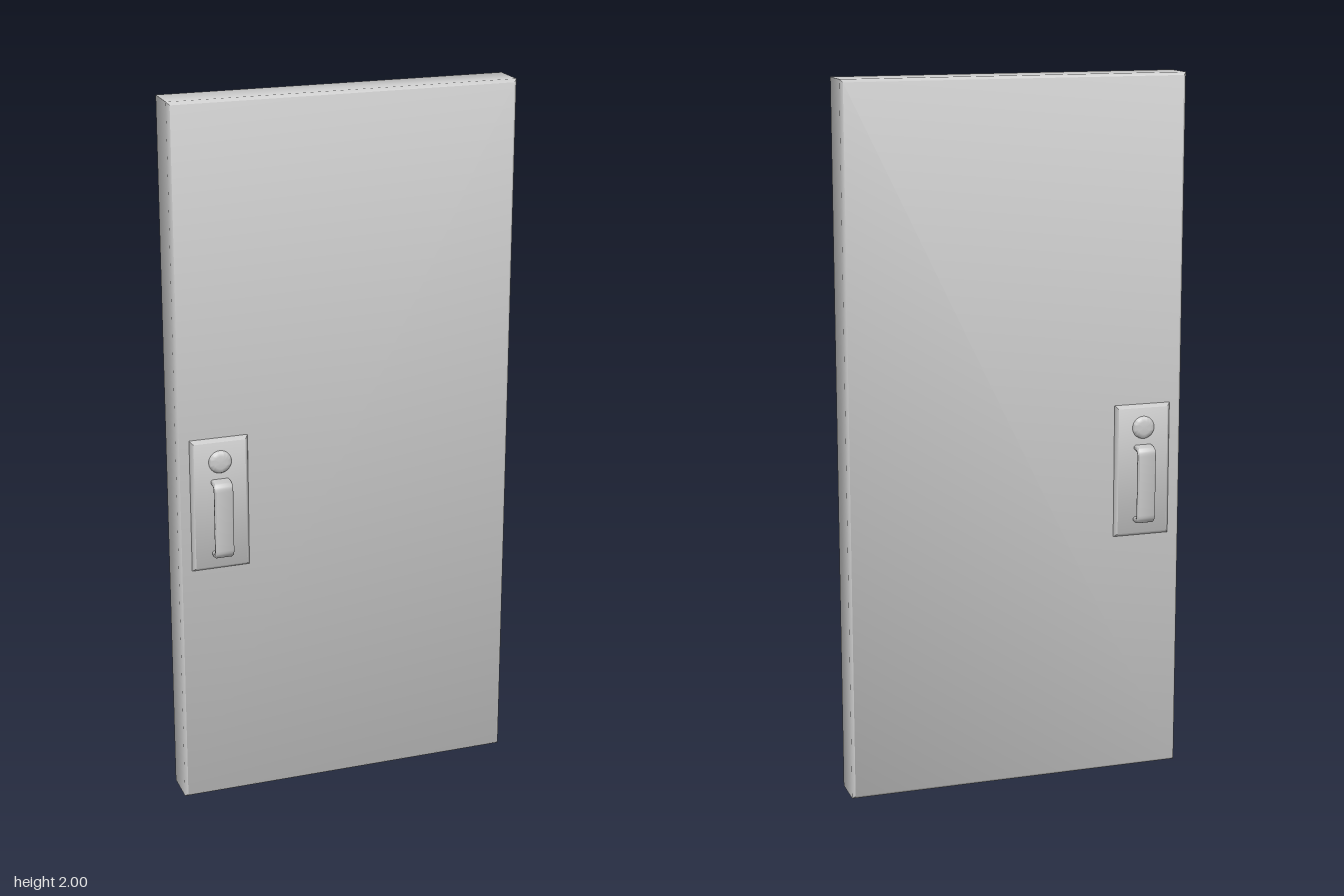
import * as THREE from 'three';
import { toCreasedNormals } from 'three/addons/utils/BufferGeometryUtils.js';

const material = new THREE.MeshStandardMaterial({ color: 0xcccccc });

function addPart(parent, name, geometry) {
  const mesh = new THREE.Mesh(geometry, material);
  mesh.name = name;
  parent.add(mesh);
  return mesh;
}

// Extrude a shape to a total depth, centred on z, with softened chamfered edges
function chamferExtrude(shape, depth, bevel) {
  const g = new THREE.ExtrudeGeometry(shape, {
    depth: depth - 2 * bevel, bevelEnabled: true, bevelSegments: 1,
    bevelSize: bevel, bevelThickness: bevel, bevelOffset: -bevel, curveSegments: 6,
  });
  g.translate(0, 0, bevel - depth / 2);
  return toCreasedNormals(g, 1.0);
}

function rectangle(w, h) {
  return new THREE.Shape([
    new THREE.Vector2(-w / 2, -h / 2), new THREE.Vector2(w / 2, -h / 2),
    new THREE.Vector2(w / 2, h / 2), new THREE.Vector2(-w / 2, h / 2),
  ]);
}

// Side profile of the pull: a C-shaped strap with rounded corners
function pullProfile(root, out, h, t, r) {
  const s = new THREE.Shape();
  s.moveTo(root, -h);
  s.lineTo(out - r, -h);
  s.quadraticCurveTo(out, -h, out, -h + r);
  s.lineTo(out, h - r);
  s.quadraticCurveTo(out, h, out - r, h);
  s.lineTo(root, h);
  s.lineTo(root, h - t);
  s.lineTo(out - r, h - t);
  s.quadraticCurveTo(out - t, h - t, out - t, h - r);
  s.lineTo(out - t, -h + r);
  s.quadraticCurveTo(out - t, -h + t, out - r, -h + t);
  s.lineTo(root, -h + t);
  s.closePath();
  return s;
}

// Plate, lock and pull for one face, projecting along +z
function makeHandleSet() {
  const set = new THREE.Group();

  const plate = addPart(set, 'backPlate', chamferExtrude(rectangle(0.164, 0.38), 0.036, 0.009));
  plate.position.set(0, 0.89, 0.052);

  // Domed lock cylinder
  const profile = [[0, 0.06], [0.032, 0.06], [0.032, 0.073], [0.028, 0.078], [0.018, 0.08], [0, 0.081]]
    .map(([r, y]) => new THREE.Vector2(r, y));
  const lock = addPart(set, 'lockCylinder',
    toCreasedNormals(new THREE.LatheGeometry(profile, 28).rotateX(Math.PI / 2), 0.9));
  lock.position.y = 1.015;

  const pull = addPart(set, 'pullHandle',
    chamferExtrude(pullProfile(0.06, 0.107, 0.112, 0.015, 0.026), 0.053, 0.004).rotateY(-Math.PI / 2));
  pull.position.y = 0.853;
  return set;
}

export function createModel() {
  const model = new THREE.Group();
  model.name = 'door';

  const panel = addPart(model, 'doorPanel', chamferExtrude(rectangle(0.972, 2), 0.116, 0.008));
  panel.position.y = 1;

  // One handle set on each face
  ['front', 'back'].forEach((side, i) => {
    const set = makeHandleSet();
    set.name = side + 'HandleSet';
    set.position.x = -0.368;
    set.rotation.y = i * Math.PI;
    model.add(set);
  });
  return model;
}
